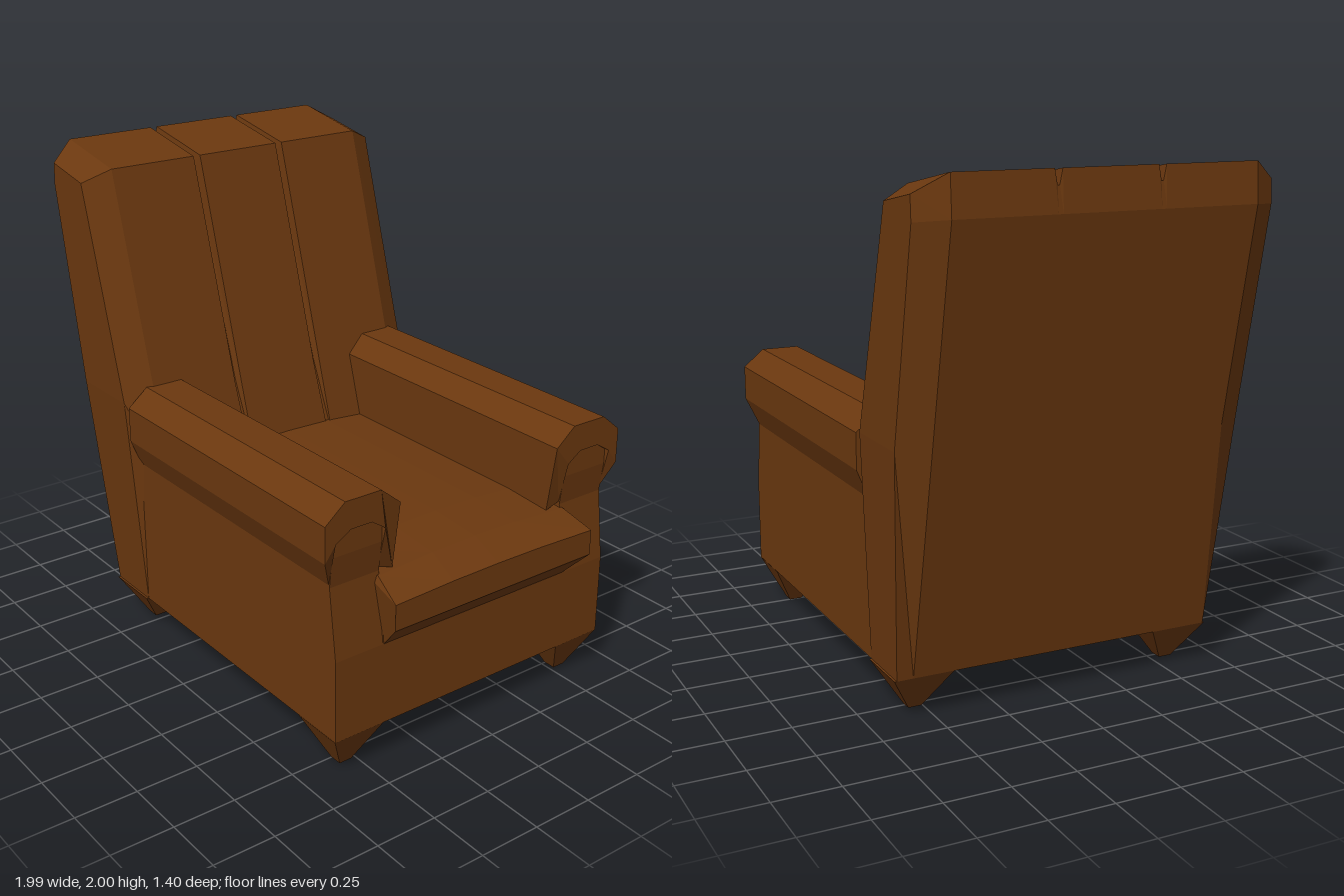
import * as THREE from 'three';

const leather = new THREE.MeshStandardMaterial({ color: 0x6b380f, flatShading: true });

// Skin a row of matching closed outlines (points [x, y, z], clockwise seen from +z,
// rows ordered from -z to +z) and cap both ends.
function loft(sections) {
  const n = sections[0].length;
  const pos = sections.flat(2);
  const index = [];
  for (let i = 0; i < sections.length - 1; i++) {
    for (let j = 0; j < n; j++) {
      const k = (j + 1) % n;
      const a = i * n + j, b = i * n + k, c = a + n, d = b + n;
      index.push(a, c, b, b, c, d);
    }
  }
  const caps = [[0, -1], [sections.length - 1, 1]];
  for (const [s, facing] of caps) {
    const pts = sections[s].map(p => new THREE.Vector2(p[0], p[1]));
    for (const [a, b, c] of THREE.ShapeUtils.triangulateShape(pts, [])) {
      const ccw = THREE.ShapeUtils.area([pts[a], pts[b], pts[c]]) > 0;
      const tri = ccw === (facing > 0) ? [a, b, c] : [a, c, b];
      index.push(...tri.map(v => v + s * n));
    }
  }
  const geo = new THREE.BufferGeometry();
  geo.setAttribute('position', new THREE.Float32BufferAttribute(pos, 3));
  geo.setIndex(index);
  const flat = geo.toNonIndexed();
  flat.computeVertexNormals();
  return flat;
}

function shapeOf(points) {
  return new THREE.Shape(points.map(p => new THREE.Vector2(p[0], p[1])));
}

export function createModel() {
  const group = new THREE.Group();
  const add = (name, geo) => {
    const mesh = new THREE.Mesh(geo, leather);
    mesh.name = name;
    group.add(mesh);
    return mesh;
  };

  // Reclined backrest: chamfered sides, two narrow grooves over top and front
  const side = s => [
    [-0.655, 0.17, 0.655], [-0.766, 1.05, 0.7], [-0.925, 1.84, 0.7], [-0.92, 1.93, 0.7],
    [-0.7, 1.89, 0.7], [-0.45, 1.05, 0.7], [-0.415, 0.62, 0.655], [-0.415, 0.17, 0.655],
  ].map(([x, y, z]) => [x, y, s * z]);
  const middle = (z, dip = 0) => [
    [-0.655, 0.17, z], [-0.827, 1.02, z], [-0.995, 1.85, z], [-0.985, 2 - dip, z],
    [-0.65 - dip * 0.6, 1.94 - dip, z], [-0.388 - dip * 0.5, 1.05, z],
    [-0.29, 0.72, z], [-0.29, 0.17, z],
  ];
  const grooves = [];
  for (const g of [-0.2, 0.2]) {
    grooves.push(middle(g - 0.015), middle(g - 0.004, 0.055), middle(g + 0.004, 0.055), middle(g + 0.015));
  }
  add('backrest', loft([side(-1), middle(-0.59), ...grooves, middle(0.59), side(1)]));

  // Base under the seat
  const base = new THREE.BoxGeometry(1.285, 0.54, 0.89);
  base.translate(0.2425, 0.44, 0);
  add('base', base);

  // Seat cushion: crowned across, with a lip jutting out at the front
  const seatSection = t => {
    const drop = 0.02 * Math.abs(t) ** 2;
    return [
      [-0.4, 0.5, 0.44 * t], [-0.4, 0.8 - drop, 0.44 * t], [0.64, 0.8 - drop, 0.44 * t],
      [0.86, 0.785 - drop, 0.45 * t], [0.99, 0.727 - drop * 0.6, 0.475 * t],
      [0.99, 0.612, 0.475 * t], [0.885, 0.5, 0.44 * t],
    ];
  };
  add('seatCushion', loft([-1, -0.45, 0, 0.45, 1].map(seatSection)));

  for (const s of [1, -1]) {
    const label = s > 0 ? 'Left' : 'Right';

    // Side panel, pinched in at the front below the armrest
    const panel = new THREE.ExtrudeGeometry(shapeOf([
      [-0.415, 0.17], [0.885, 0.17], [0.885, 0.5], [0.85, 0.78], [0.865, 0.9], [0.865, 1], [-0.415, 1],
    ]), { depth: 0.215, bevelEnabled: false });
    panel.translate(0, 0, s > 0 ? 0.44 : -0.655);
    add('sidePanel' + label, panel);

    // Armrest: faceted arch wrapped over the panel
    const arm = new THREE.ExtrudeGeometry(shapeOf([
      [0.655, 0.79], [0.7, 0.9], [0.7, 1.04], [0.615, 1.11], [0.46, 1.11], [0.375, 1.04],
      [0.375, 0.77], [0.44, 0.79], [0.44, 0.96], [0.5, 1], [0.59, 1], [0.655, 0.96],
    ].map(([z, y]) => [-s * z, y])), { depth: 1.3, bevelEnabled: false });
    arm.rotateY(Math.PI / 2).translate(-0.415, 0, 0);
    // Lower front corners slant back
    const p = arm.attributes.position;
    for (let i = 0; i < p.count; i++) {
      if (p.getX(i) > 0.8 && p.getY(i) < 0.82) p.setX(i, 0.845);
    }
    arm.computeVertexNormals();
    add('armrest' + label, arm);

    // Tapered square legs
    for (const [name, x, half, bottom] of [['frontLeg', 0.773, 0.111, 0], ['rearLeg', -0.535, 0.119, 0.015]]) {
      const h = 0.17 - bottom;
      const leg = new THREE.CylinderGeometry(half * Math.SQRT2, 0.026 * Math.SQRT2, h, 4);
      leg.rotateY(Math.PI / 4).translate(x, bottom + h / 2, s * 0.545);
      add(name + label, leg);
    }
  }
  return group;
}
